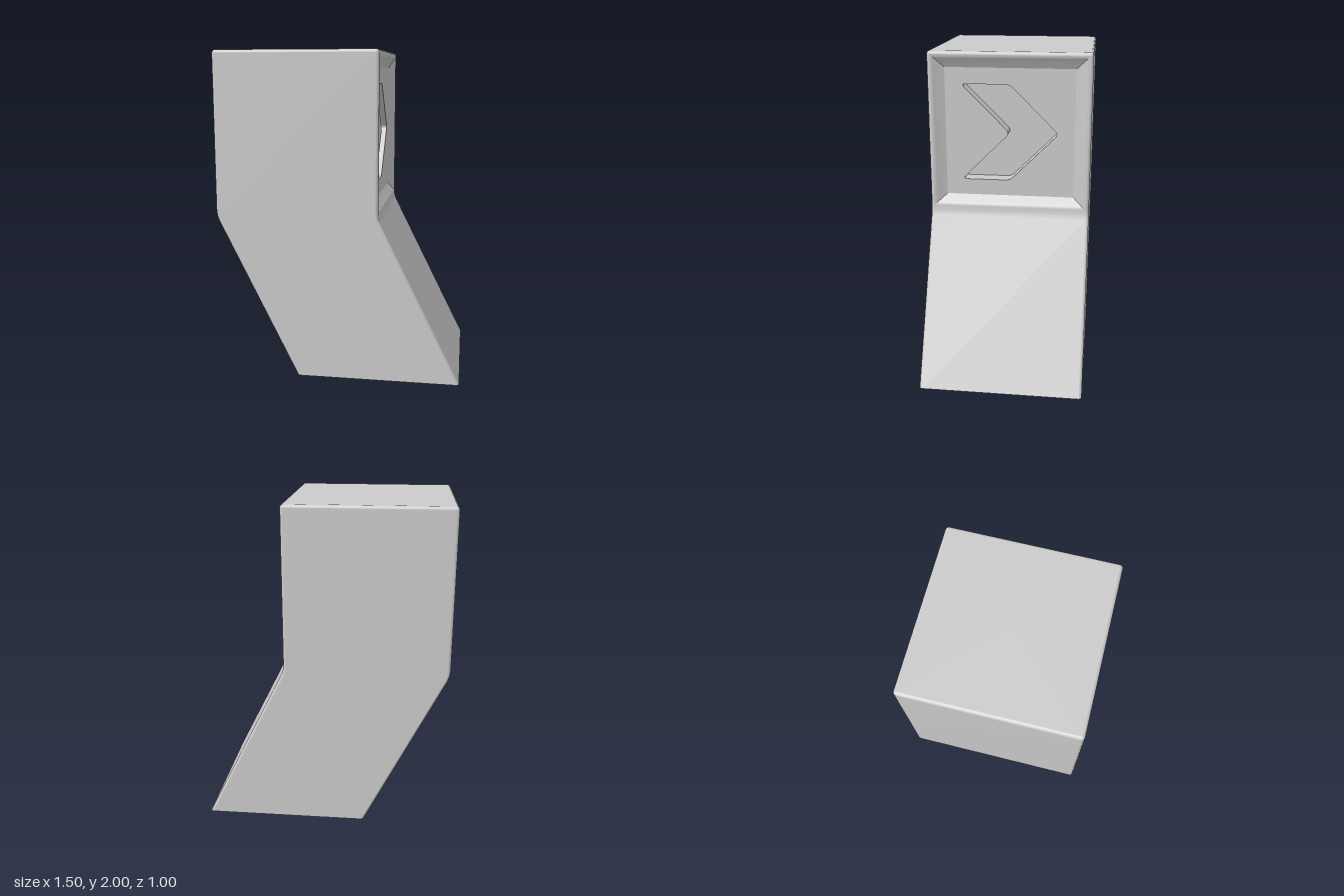
import * as THREE from 'three';

const R = 0.02;        // edge rounding
const STEPS = 4;       // segments per rounded corner
const FACE = 0.25;     // x of the upper right face
const OPEN = { z: 0.48, lo: 1.03, hi: 1.98 };   // opening in that face
const PANEL = { z: 0.4, lo: 1.1, hi: 1.9, x: 0.21 };
const POCKET = 0.1;

function geometryFrom(positions, indices) {
  const g = new THREE.BufferGeometry();
  g.setAttribute('position', new THREE.Float32BufferAttribute(positions, 3));
  g.setIndex(indices);
  g.computeVertexNormals();
  return g;
}

// Horizontal rounded square around (cx, y, 0)
function ring(cx, y, inset = 0) {
  const points = [], r = R - inset;
  for (let q = 0; q < 4; q++) {
    const sx = q === 0 || q === 3 ? 1 : -1, sz = q < 2 ? 1 : -1;
    for (let i = 0; i <= STEPS; i++) {
      const a = (q + i / STEPS) * Math.PI / 2;
      points.push([cx + sx * (0.5 - R) + r * Math.cos(a), y, sz * (0.5 - R) + r * Math.sin(a)]);
    }
  }
  return points;
}

// Bent block: leaning lower half, upright upper half, rounded top
function bodyGeometry() {
  const rings = [ring(0.25, 0), ring(-0.235, 0.97), ring(-0.246, 1), ring(-0.25, OPEN.lo)];
  const openRow = rings.length - 1;
  for (let i = 0; i <= STEPS; i++) {
    const a = i / STEPS * Math.PI / 2;
    rings.push(ring(-0.25, 2 - R + R * Math.sin(a), R * (1 - Math.cos(a))));
  }
  const n = rings[0].length, pos = rings.flat(2), idx = [];
  for (let j = 0; j < rings.length - 1; j++) {
    for (let i = 0; i < n; i++) {
      if (j === openRow && i === n - 1) continue;   // leave the panel opening
      const a = j * n + i, b = j * n + (i + 1) % n;
      idx.push(a, a + n, b, a + n, b + n, b);
    }
  }
  // top cap shares the rounded edge
  const top = (rings.length - 1) * n, centre = pos.length / 3;
  pos.push(-0.25, 2, 0);
  for (let i = 0; i < n; i++) idx.push(centre, top + (i + 1) % n, top + i);
  // bottom cap has its own vertices for a sharp edge
  const base = pos.length / 3;
  pos.push(0.25, 0, 0, ...rings[0].flat());
  for (let i = 0; i < n; i++) idx.push(base, base + 1 + i, base + 1 + (i + 1) % n);
  return geometryFrom(pos, idx);
}

// Mitred frame: a rounded lip that slopes in to the panel
function frameGeometry() {
  const profile = [[0, FACE], [0.12, 0.249], [0.25, 0.245], [0.37, 0.237], [1, PANEL.x]];
  const corners = [[-1, 'lo'], [-1, 'hi'], [1, 'hi'], [1, 'lo']];
  const point = (k, [t, x]) => {
    const [s, h] = corners[k % 4];
    return [x, THREE.MathUtils.lerp(OPEN[h], PANEL[h], t), s * THREE.MathUtils.lerp(OPEN.z, PANEL.z, t)];
  };
  const pos = [], idx = [];
  for (let k = 0; k < 4; k++) {
    const start = pos.length / 3;
    profile.forEach((p, j) => {
      pos.push(...point(k, p), ...point(k + 1, p));
      if (j) {
        const a = start + 2 * (j - 1);
        idx.push(a, a + 1, a + 3, a, a + 3, a + 2);
      }
    });
  }
  return geometryFrom(pos, idx);
}

// Closed outline with softened corners
function roundedPath(points, cut) {
  const path = new THREE.Path(), v = points.map(p => new THREE.Vector2(...p));
  v.forEach((p, i) => {
    const before = v[(i + v.length - 1) % v.length], after = v[(i + 1) % v.length];
    const a = before.clone().sub(p).setLength(cut).add(p);
    const b = after.clone().sub(p).setLength(cut).add(p);
    if (i) path.lineTo(a.x, a.y);
    else path.moveTo(a.x, a.y);
    path.quadraticCurveTo(p.x, p.y, b.x, b.y);
  });
  path.closePath();
  return path;
}

// Panel with an arrow-shaped pocket
function panelGeometry() {
  const w = PANEL.z;
  const shape = new THREE.Shape([[-w, PANEL.lo], [w, PANEL.lo], [w, PANEL.hi], [-w, PANEL.hi]]
    .map(p => new THREE.Vector2(...p)));
  shape.holes.push(roundedPath(
    [[-0.3, 1.8], [0, 1.8], [0.3, 1.5], [0, 1.2], [-0.3, 1.2], [0, 1.5]], 0.03));
  return new THREE.ExtrudeGeometry(shape, { depth: POCKET, bevelEnabled: false, curveSegments: 6 })
    .rotateY(Math.PI / 2).translate(PANEL.x - POCKET, 0, 0);
}

export function createModel() {
  const group = new THREE.Group();
  group.name = 'bentBlock';
  const material = new THREE.MeshStandardMaterial({ color: 0xcccccc });
  const add = (name, geometry) => {
    const mesh = new THREE.Mesh(geometry, material);
    mesh.name = name;
    group.add(mesh);
  };
  add('body', bodyGeometry());
  add('panelFrame', frameGeometry());
  add('arrowPanel', panelGeometry());
  // floor of the arrow pocket
  add('pocketFloor', new THREE.PlaneGeometry(0.7, 0.7)
    .rotateY(Math.PI / 2).translate(PANEL.x - POCKET + 0.001, 1.5, 0));
  return group;
}
